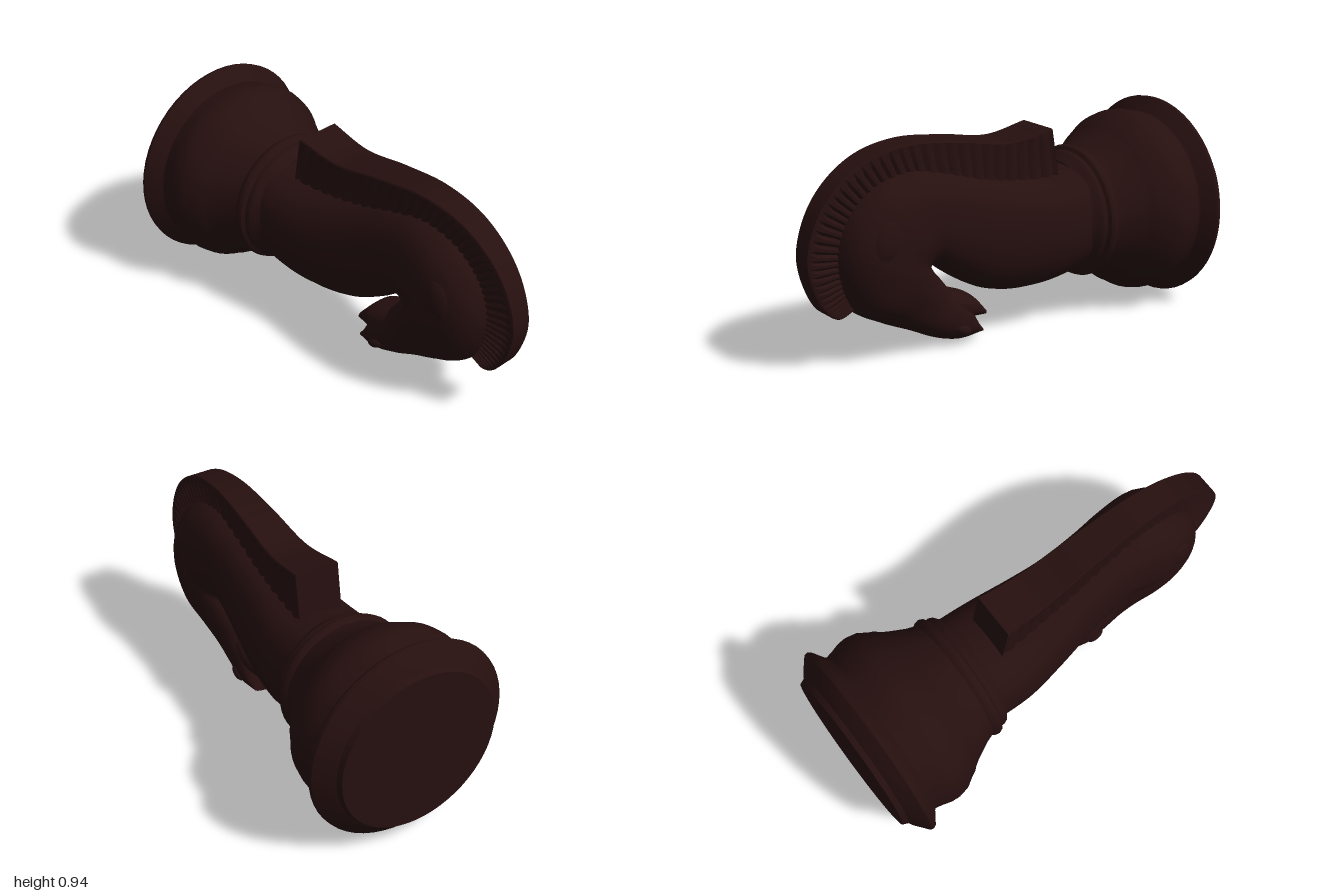
import * as THREE from 'three';
import { toCreasedNormals } from 'three/addons/utils/BufferGeometryUtils.js';

const V = (x, y, z) => new THREE.Vector3(x, y, z);

// Closed, capped skin through equal-length rings; winding is fixed by its volume
function loft(rings, crease) {
  const n = rings[0].length, pos = [], idx = [];
  rings.forEach(r => r.forEach(p => pos.push(p.x, p.y, p.z)));
  for (let i = 0; i < rings.length - 1; i++) {
    for (let j = 0; j < n; j++) {
      const a = i * n + j, b = i * n + (j + 1) % n;
      idx.push(a, b, b + n, a, b + n, a + n);
    }
  }
  [0, rings.length - 1].forEach(i => {
    const c = rings[i].reduce((s, p) => s.add(p), V(0, 0, 0)).divideScalar(n);
    const k = pos.length / 3;
    pos.push(c.x, c.y, c.z);
    for (let j = 0; j < n; j++) {
      const a = i * n + j, b = i * n + (j + 1) % n;
      idx.push(...(i ? [k, a, b] : [k, b, a]));
    }
  });
  const at = i => V(pos[3 * i], pos[3 * i + 1], pos[3 * i + 2]);
  let volume = 0;
  for (let i = 0; i < idx.length; i += 3) volume += at(idx[i]).dot(at(idx[i + 1]).cross(at(idx[i + 2])));
  if (volume < 0) idx.reverse();
  const g = new THREE.BufferGeometry();
  g.setAttribute('position', new THREE.Float32BufferAttribute(pos, 3));
  g.setIndex(idx);
  return toCreasedNormals(g, crease);
}

// Rounded body through stations [z, y of outer edge, z, y of inner edge, half width]
function body(stations, steps, power) {
  const outer = new THREE.CatmullRomCurve3(stations.map(s => V(s[4], s[1], s[0])));
  const inner = new THREE.CatmullRomCurve3(stations.map(s => V(s[4], s[3], s[2])));
  const soft = v => Math.sign(v) * Math.abs(v) ** power;
  const rings = [];
  for (let i = 0; i <= steps; i++) {
    const a = outer.getPoint(i / steps), b = inner.getPoint(i / steps), ring = [];
    for (let j = 0; j < 40; j++) {
      const t = j / 40 * Math.PI * 2;
      const p = b.clone().lerp(a, 0.5 + 0.5 * soft(Math.cos(t)));
      p.x = a.x * soft(Math.sin(t));
      ring.push(p);
    }
    rings.push(ring);
  }
  return loft(rings, 0.8);
}

// Crest with a smooth outer edge and grooved sides
function crest() {
  // z, y outer, z, y inner, half width
  const s = [
    [-0.22, 0.905, -0.265, 0.64, 0.105], [0, 0.875, 0, 0.66, 0.093],
    [0.25, 0.915, 0.22, 0.69, 0.082], [0.5, 0.94, 0.43, 0.72, 0.071],
    [0.7, 0.905, 0.56, 0.68, 0.064], [0.85, 0.815, 0.66, 0.62, 0.058],
    [0.95, 0.69, 0.72, 0.56, 0.053], [1, 0.52, 0.74, 0.48, 0.05],
    [0.97, 0.37, 0.72, 0.42, 0.049], [0.91, 0.265, 0.7, 0.37, 0.049],
    [0.85, 0.235, 0.68, 0.33, 0.049], [0.8, 0.26, 0.66, 0.3, 0.048]];
  const outer = new THREE.CatmullRomCurve3(s.map(p => V(p[4], p[1], p[0])));
  const inner = new THREE.CatmullRomCurve3(s.map(p => V(p[4], p[3], p[2])));
  const rings = [], steps = 132;
  for (let i = 0; i <= steps; i++) {
    const a = outer.getPoint(i / steps), b = inner.getPoint(i / steps);
    const groove = i % 3 === 1 ? 0.009 : 0;
    const side = [[0, 0.004], [0.03, 0], [0.2, groove], [1, groove]].map(([t, cut]) => {
      const p = a.clone().lerp(b, t);
      p.x = a.x - cut;
      return p;
    });
    rings.push([...side, ...side.map(p => V(-p.x, p.y, p.z)).reverse()]);
  }
  return loft(rings, 0.5);
}

export function createModel() {
  const group = new THREE.Group();
  const wood = new THREE.MeshStandardMaterial({ color: 0x260f0f });
  wood.name = 'darkWood';
  const add = (name, geometry) => {
    const mesh = new THREE.Mesh(geometry, wood);
    mesh.name = name;
    group.add(mesh);
    return mesh;
  };

  // Turned base lying along z: radius, z
  const profile = [
    [0, -1], [0.375, -1], [0.385, -0.975], [0.41, -0.96], [0.465, -0.915], [0.468, -0.9],
    [0.462, -0.89], [0.41, -0.855], [0.402, -0.845], [0.41, -0.81], [0.422, -0.77],
    [0.425, -0.73], [0.415, -0.68], [0.39, -0.64], [0.378, -0.615], [0.364, -0.6],
    [0.345, -0.57], [0.325, -0.53], [0.305, -0.49], [0.293, -0.455], [0.302, -0.443],
    [0.306, -0.425], [0.3, -0.41], [0.284, -0.4], [0.286, -0.385], [0.28, -0.37],
    [0.26, -0.355], [0.25, -0.335], [0, -0.3]];
  const base = new THREE.LatheGeometry(profile.map(p => new THREE.Vector2(...p)), 56);
  base.rotateX(Math.PI / 2).translate(0, 0.47, 0);
  add('turnedBase', toCreasedNormals(base, 0.6));

  // Neck curling over into the head and nose
  add('neckAndHead', body([
    [-0.4, 0.72, -0.4, 0.23, 0.25], [-0.2, 0.7, -0.2, 0.19, 0.245],
    [0, 0.72, -0.02, 0.185, 0.215], [0.15, 0.75, 0.13, 0.22, 0.19],
    [0.33, 0.8, 0.28, 0.305, 0.176], [0.52, 0.83, 0.38, 0.38, 0.18],
    [0.71, 0.77, 0.41, 0.39, 0.195], [0.83, 0.63, 0.41, 0.385, 0.195],
    [0.86, 0.46, 0.39, 0.36, 0.192], [0.79, 0.26, 0.36, 0.33, 0.172],
    [0.65, 0.17, 0.31, 0.27, 0.142], [0.5, 0.1, 0.28, 0.235, 0.125],
    [0.37, 0.037, 0.24, 0.215, 0.122], [0.27, 0.012, 0.2, 0.16, 0.122],
    [0.145, 0.025, 0.16, 0.068, 0.095]], 90, 0.85));

  // Lower jaw
  add('lowerJaw', body([
    [0.36, 0.13, 0.33, 0.26, 0.1], [0.25, 0.1, 0.23, 0.223, 0.108],
    [0.17, 0.095, 0.18, 0.2, 0.095], [0.115, 0.092, 0.11, 0.125, 0.065]], 20, 0.85));

  add('mane', crest());

  // Eyes with rims, and nostrils
  for (const side of [1, -1]) {
    const name = side > 0 ? 'left' : 'right';
    const eye = add(name + 'Eye', new THREE.SphereGeometry(1, 24, 16));
    eye.scale.set(0.03, 0.1, 0.062);
    eye.position.set(side * 0.165, 0.57, 0.69);
    eye.rotation.set(-0.35, side * -0.25, 0);
    const rim = add(name + 'EyeRim', new THREE.TorusGeometry(1, 0.09, 8, 32).rotateY(Math.PI / 2));
    rim.scale.set(0.12, 0.105, 0.067);
    rim.position.set(side * 0.163, 0.57, 0.69);
    rim.rotation.copy(eye.rotation);
    const nostril = add(name + 'Nostril', new THREE.SphereGeometry(1, 16, 12));
    nostril.scale.set(0.022, 0.025, 0.045);
    nostril.position.set(side * 0.112, 0.075, 0.27);
    nostril.rotation.x = -0.4;
  }
  return group;
}
